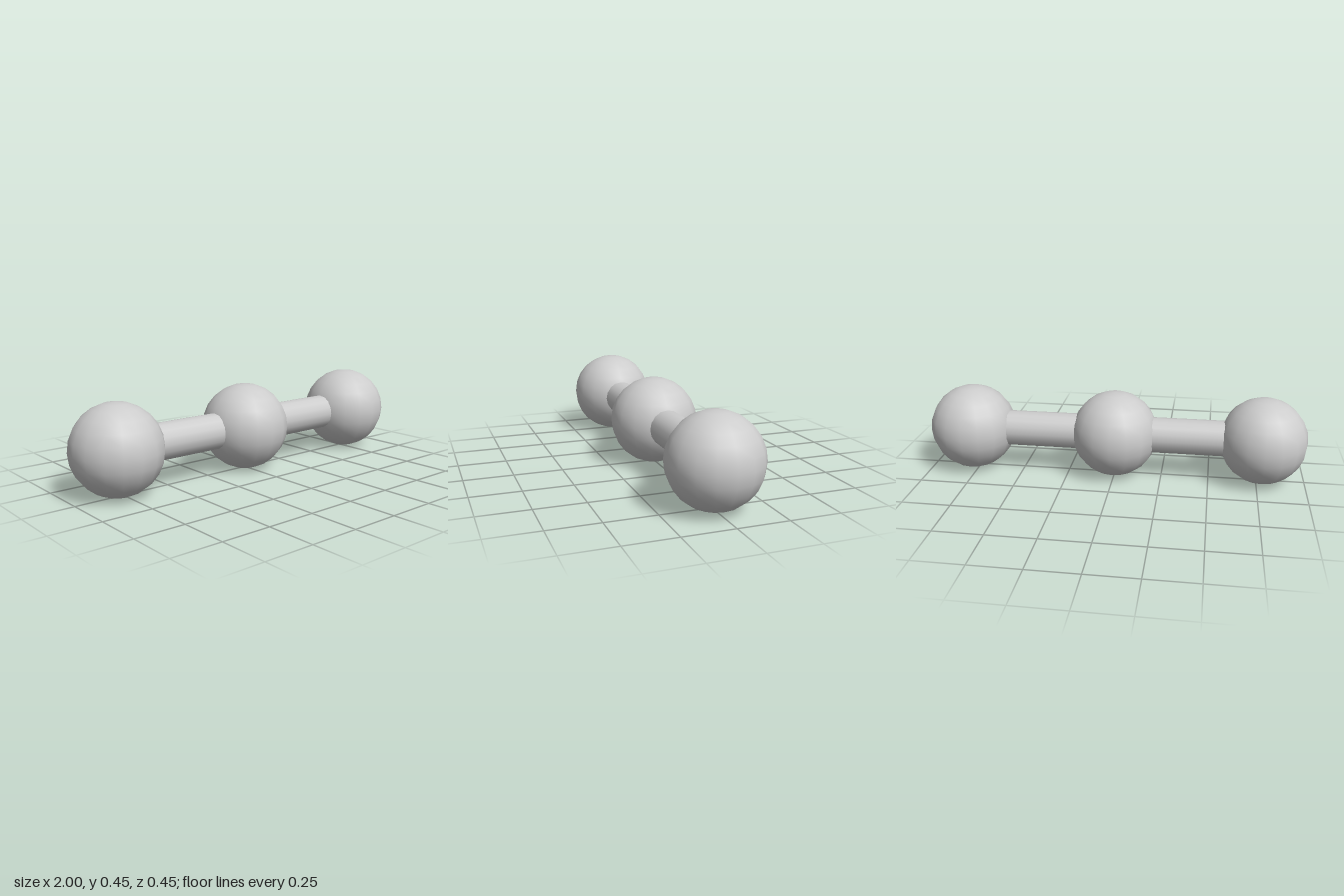
import * as THREE from 'three';

export function createModel() {
  const group = new THREE.Group();
  const grey = new THREE.MeshStandardMaterial({ color: 0xcccccc });
  grey.name = 'light grey';

  const radius = 0.226, spacing = 0.774, height = 0.227;

  const add = (name, geometry, x) => {
    const mesh = new THREE.Mesh(geometry, grey);
    mesh.name = name;
    mesh.position.set(x, height, 0);
    group.add(mesh);
  };

  // Three equal balls in a row
  const ball = new THREE.SphereGeometry(radius, 16, 12);
  add('rightBall', ball, -spacing);
  add('centreBall', ball, 0);
  add('leftBall', ball, spacing);

  // Rods joining the balls, with their ends buried inside them
  const rod = new THREE.CylinderGeometry(0.093, 0.093, spacing - 0.3, 16).rotateZ(Math.PI / 2);
  add('rightRod', rod, -spacing / 2);
  add('leftRod', rod, spacing / 2);

  return group;
}
